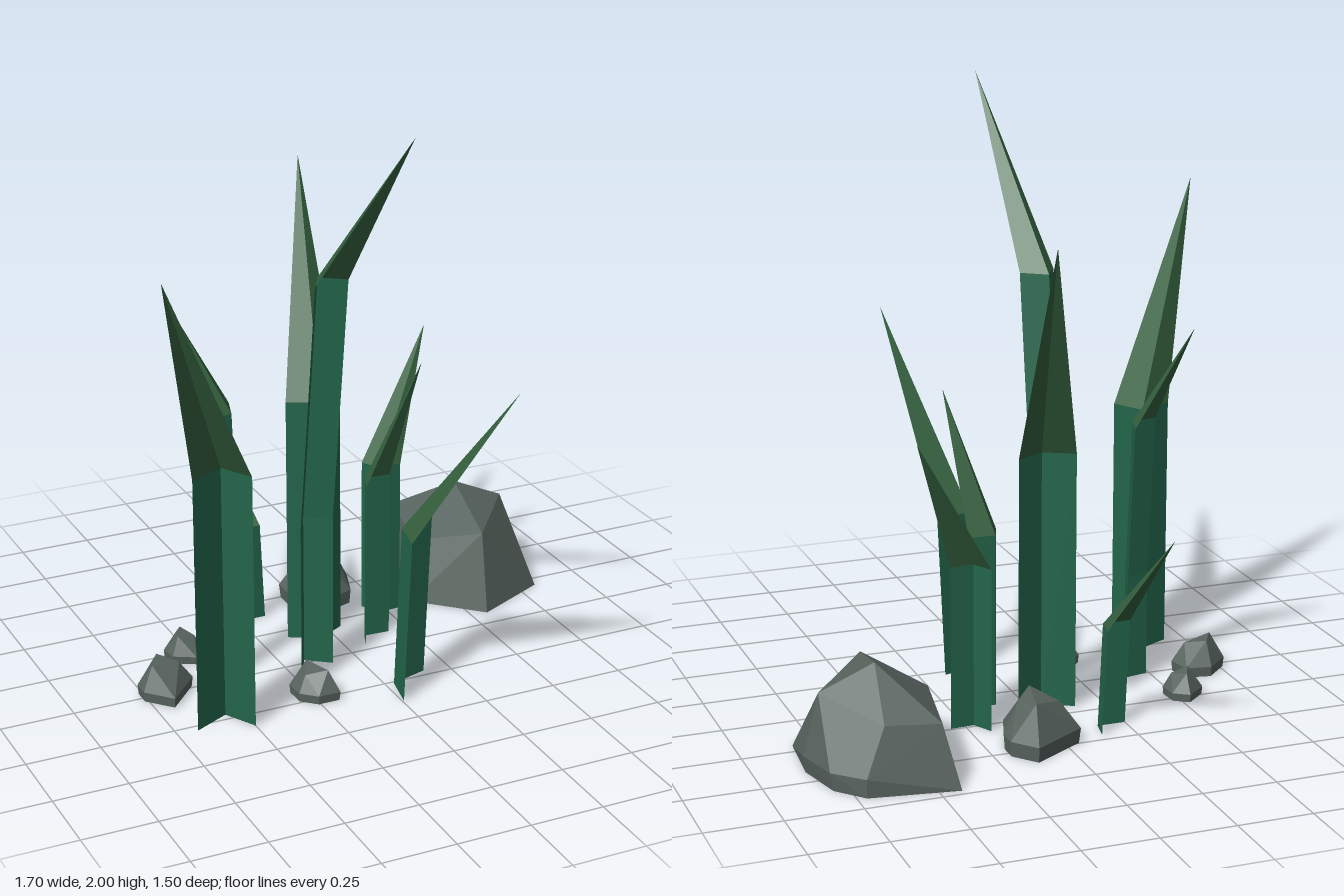
import * as THREE from 'three';
import { ConvexGeometry } from 'three/addons/geometries/ConvexGeometry.js';

const stemMaterial = new THREE.MeshStandardMaterial({ color: 0x23654b, flatShading: true, side: THREE.DoubleSide });
const tipMaterial = new THREE.MeshStandardMaterial({ color: 0x35623f, flatShading: true, side: THREE.DoubleSide });
const rockMaterial = new THREE.MeshStandardMaterial({ color: 0x58645f, flatShading: true });

// Folded sheet through rows of three points: edge, fold, edge
function foldedSheet(rows, material, name) {
  const positions = [];
  const tri = (...points) => points.forEach((p) => positions.push(...p));
  for (let r = 0; r < rows.length - 1; r++) {
    const low = rows[r], high = rows[r + 1];
    for (let i = 0; i < 2; i++) {
      tri(low[i], low[i + 1], high[i]);
      // a pointed end needs only one triangle per side
      if (high[i] !== high[i + 1]) tri(low[i + 1], high[i + 1], high[i]);
    }
  }
  const geometry = new THREE.BufferGeometry();
  geometry.setAttribute('position', new THREE.Float32BufferAttribute(positions, 3));
  geometry.computeVertexNormals();
  const mesh = new THREE.Mesh(geometry, material);
  mesh.name = name;
  return mesh;
}

// Blade: V-shaped stem (upright to kink, then leaning by shift) and a bent, pointed tip
function blade({ fold, bend, tip, kink = 0, shift = [0, 0] }) {
  const row = (y, dx, dz) => fold.map(([x, z]) => [x + dx, y, z + dz]);
  const base = row(0, 0, 0);
  const top = row(bend, ...shift);
  const stemRows = kink ? [base, row(kink, 0, 0), top] : [base, top];
  const group = new THREE.Group();
  group.name = 'grassBlade';
  group.add(
    foldedSheet(stemRows, stemMaterial, 'bladeStem'),
    foldedSheet([top, [tip, tip, tip]], tipMaterial, 'bladeTip'),
  );
  return group;
}

function rock(points, name) {
  const mesh = new THREE.Mesh(new ConvexGeometry(points.map((p) => new THREE.Vector3(...p))), rockMaterial);
  mesh.name = name;
  return mesh;
}

// Small rock: ground outline, steep shoulder and an uneven faceted crown
function pebble(outline, height) {
  const n = outline.length;
  const cx = outline.reduce((s, p) => s + p[0], 0) / n;
  const cz = outline.reduce((s, p) => s + p[1], 0) / n;
  const points = [];
  outline.forEach(([x, z], i) => {
    const at = (k, y) => points.push([cx + (x - cx) * k, y, cz + (z - cz) * k]);
    at(0.96, 0);
    at(1, height * 0.3);
    if (i % 2 === 0) at(0.55, height * (i % 4 === 0 ? 1 : 0.85));
  });
  return rock(points, 'smallRock');
}

export function createModel() {
  const model = new THREE.Group();
  model.name = 'grassAndRocks';

  // Grass blades
  const blades = [
    { fold: [[-0.68, 0.28], [-0.56, 0.22], [-0.5, 0.33]], bend: 0.87, tip: [-0.85, 1.61, 0.5] },
    { fold: [[-0.22, 0.07], [-0.17, -0.02], [-0.09, 0.04]], bend: 1.4, kink: 0.53, shift: [0.006, 0.11], tip: [-0.115, 2, 0.67] },
    { fold: [[0.005, 0.385], [0.03, 0.26], [0.16, 0.22]], bend: 0.56, shift: [0.025, 0], tip: [0.21, 1.18, 0.75] },
    { fold: [[-0.15, -0.2], [-0.05, -0.145], [0.05, -0.2]], bend: 0.87, tip: [0.04, 1.62, -0.51] },
    { fold: [[0.065, -0.025], [0.093, -0.098], [0.184, -0.093]], bend: 0.59, tip: [0.21, 1.05, 0.085] },
    { fold: [[0.184, -0.31], [0.22, -0.24], [0.3, -0.245]], bend: 0.55, tip: [0.445, 1, -0.36] },
    { fold: [[-0.25, -0.385], [-0.155, -0.385], [-0.14, -0.46]], bend: 0.35, shift: [-0.015, 0], tip: [-0.257, 0.73, -0.748] },
    { fold: [[-0.49, 0], [-0.4, -0.02], [-0.37, -0.115]], bend: 0.92, kink: 0.36, shift: [0, -0.048], tip: [-0.545, 1.26, -0.23] },
  ];
  blades.forEach((b) => model.add(blade(b)));

  // Large rock
  model.add(rock([
    [0.43, 0, -0.725], [0.72, 0, -0.68], [0.8, 0, -0.59], [0.84, 0, -0.42],
    [0.82, 0, -0.2], [0.56, 0, -0.075], [0.36, 0, -0.27],
    [0.72, 0.06, -0.68], [0.81, 0.06, -0.59], [0.85, 0.06, -0.43],
    [0.41, 0.2, -0.34], [0.47, 0.2, -0.66], [0.65, 0.21, -0.64],
    [0.575, 0.27, -0.15], [0.8, 0.265, -0.44], [0.62, 0.345, -0.45],
  ], 'largeRock'));

  // Small rocks
  const pebbles = [
    [0.17, [[0.134, -0.61], [0.2, -0.53], [0.2, -0.465], [0.16, -0.35], [0.07, -0.32], [-0.05, -0.36], [-0.05, -0.5]]],
    [0.09, [[-0.52, -0.305], [-0.47, -0.27], [-0.465, -0.2], [-0.51, -0.145], [-0.58, -0.185], [-0.59, -0.245]]],
    [0.115, [[-0.685, -0.11], [-0.6, -0.093], [-0.58, -0.01], [-0.69, 0.11], [-0.766, 0.025], [-0.766, -0.034]]],
    [0.1, [[-0.24, 0.11], [-0.31, 0.17], [-0.307, 0.243], [-0.257, 0.29], [-0.18, 0.29], [-0.17, 0.17]]],
  ];
  pebbles.forEach(([height, outline]) => model.add(pebble(outline, height)));

  return model;
}
